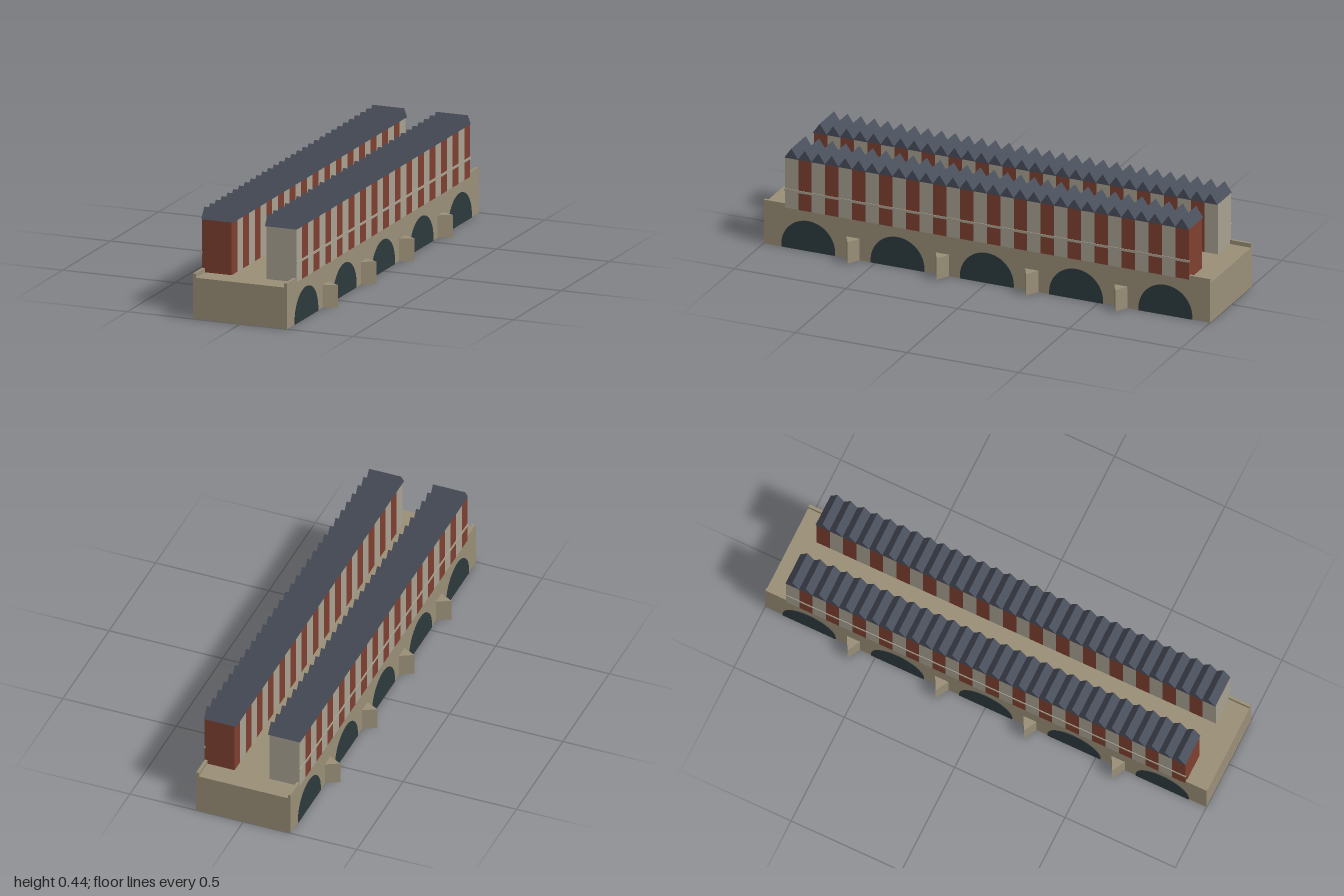
import * as THREE from 'three';

const mat = (color) => new THREE.MeshStandardMaterial({ color, flatShading: true });

export function createModel() {
  const model = new THREE.Group();
  const stone = mat(0x9a8f78), plaster = mat(0xa8a291), brick = mat(0x7f4030);
  const slate = mat(0x4a4f5c), dark = mat(0x2d3a3e);

  const add = (name, geometry, material, x, y, z) => {
    const mesh = new THREE.Mesh(geometry, material);
    mesh.name = name;
    mesh.position.set(x, y, z);
    model.add(mesh);
    return mesh;
  };
  // Box given by its minimum and maximum on each axis
  const box = (name, material, x0, x1, y0, y1, z0, z1) =>
    add(name, new THREE.BoxGeometry(Math.abs(x1 - x0), y1 - y0, z1 - z0), material,
      (x0 + x1) / 2, (y0 + y1) / 2, (z0 + z1) / 2);
  // Profile in (z, y) extruded along x and centred on x
  const acrossX = (shape, width) =>
    new THREE.ExtrudeGeometry(shape, { depth: width, bevelEnabled: false, curveSegments: 24 })
      .translate(0, 0, -width / 2).rotateY(Math.PI / 2);

  // Bridge shell, open underneath
  const deckY = 0.175, wallX = 0.208, innerX = 0.196;
  box('deck', stone, -innerX, innerX, deckY - 0.01, deckY, -1, 1);
  for (const s of [-1, 1]) {
    box('sideWall', stone, s * innerX, s * wallX, 0, 0.193, -1, 1);
    box('endWall', stone, -innerX, innerX, 0, deckY - 0.01, s < 0 ? -1 : 0.99, s < 0 ? -0.99 : 1);
  }

  // Dark arch: a half circle on a low sill
  const arch = new THREE.Shape();
  arch.moveTo(-0.12, 0);
  arch.lineTo(0.12, 0);
  arch.lineTo(0.12, 0.013);
  arch.absarc(0, 0.013, 0.12, 0, Math.PI, false);
  arch.closePath();
  const archGeometry = acrossX(arch, 0.017);

  // Pointed pier, a triangle in plan
  const pier = new THREE.Shape([
    new THREE.Vector2(0, -0.03), new THREE.Vector2(0.056, 0), new THREE.Vector2(0, 0.03),
  ]);
  const pierGeometry = new THREE.ExtrudeGeometry(pier, { depth: 0.095, bevelEnabled: false })
    .rotateX(-Math.PI / 2);

  // Gabled roof with its ridge along x
  const count = 30, pitch = 1.81 / count;
  const gable = new THREE.Shape([
    new THREE.Vector2(-pitch * 0.52, 0), new THREE.Vector2(pitch * 0.52, 0), new THREE.Vector2(0, 0.045),
  ]);
  const roofGeometry = acrossX(gable, 0.142);
  const houseGeometry = new THREE.BoxGeometry(0.132, 0.398 - deckY, pitch);

  for (const s of [-1, 1]) {
    for (let i = -2; i <= 2; i++) add('arch', archGeometry, dark, s * 0.2025, 0, i * 0.4);
    for (const z of [-0.6, -0.2, 0.2, 0.6]) {
      add('pier', pierGeometry, stone, s * wallX, 0, z).rotation.y = s > 0 ? 0 : Math.PI;
    }
    // Row of houses in alternating plaster and brick
    for (let i = 0; i < count; i++) {
      const z = 0.905 - (i + 0.5) * pitch;
      const isPlaster = (i % 2 === 0) === (s > 0);
      add('house', houseGeometry, isPlaster ? plaster : brick, s * 0.1435, (0.398 + deckY) / 2, z);
      add('roof', roofGeometry, slate, s * 0.141, 0.398, z);
    }
    // String course along the outer facades
    box('stringCourse', plaster, s * 0.206, s * 0.2125, 0.251, 0.261, -0.907, 0.907);
  }
  return model;
}
